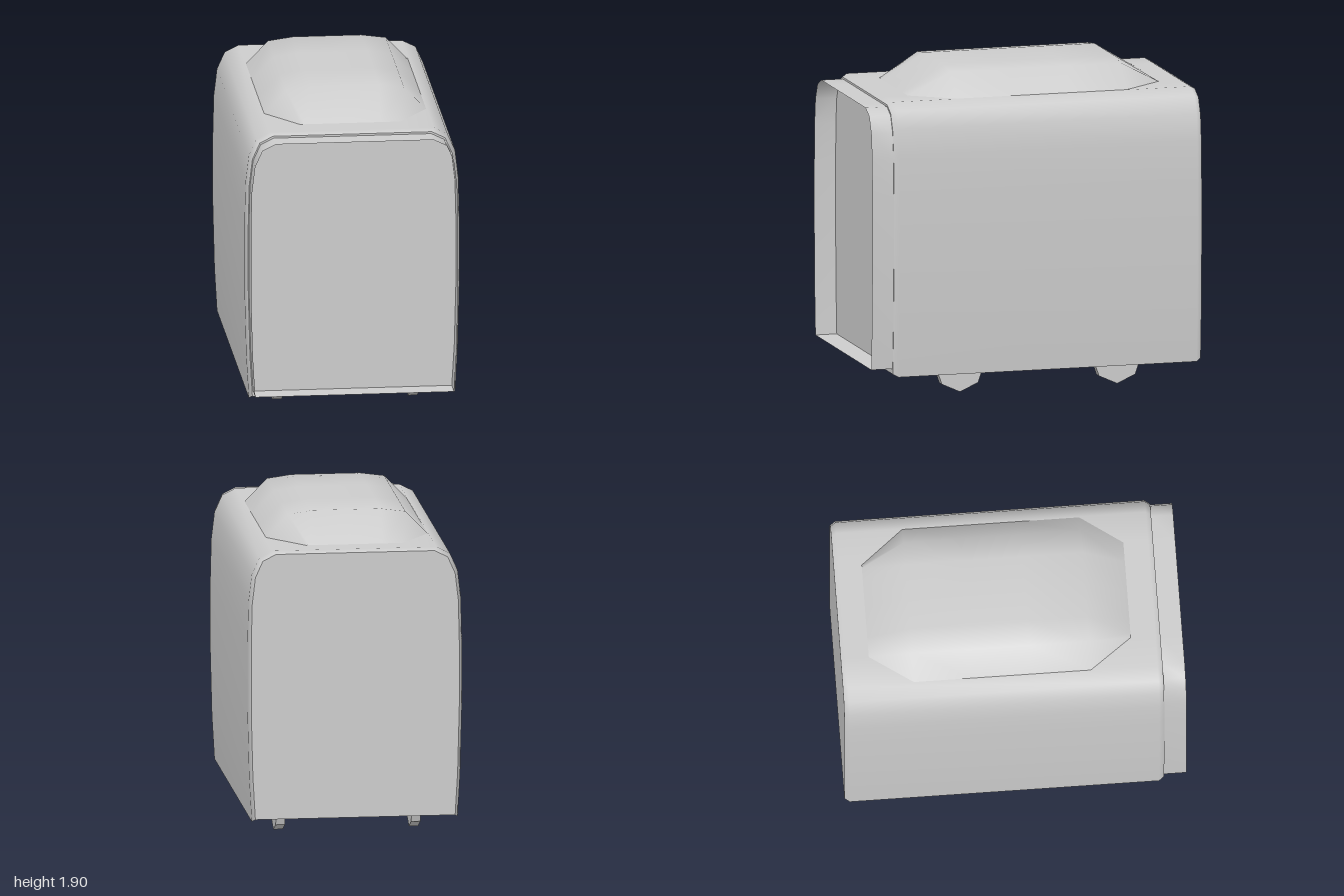
import * as THREE from 'three';

// Smooth surface through rows of [x, y, z] points (columns run +x to -x, rows front to back)
function loft(rows) {
  const n = rows[0].length, index = [];
  for (let i = 0; i < rows.length - 1; i++) {
    for (let j = 0; j < n - 1; j++) {
      const a = i * n + j, b = a + 1, c = a + n, d = c + 1;
      index.push(a, c, b, b, c, d);
    }
  }
  const g = new THREE.BufferGeometry();
  g.setAttribute('position', new THREE.Float32BufferAttribute(rows.flat(2), 3));
  g.setIndex(index);
  g.computeVertexNormals();
  return g;
}

// Arch outline: right half mirrored to the left
const half = [[0.605, 0.14], [0.62, 0.4], [0.63, 0.8], [0.63, 1.2], [0.624, 1.45],
  [0.605, 1.61], [0.56, 1.71], [0.48, 1.75], [0.3, 1.75]];
const arch = [...half, ...half.slice().reverse().map(([x, y]) => [-x, y])];
const MID = 0.945;
const section = (sx, sy, dy = 0) => arch.map(([x, y]) => [x * sx, MID + dy + (y - MID) * sy]);
const at = (pts, z) => pts.map(([x, y]) => [x, y, z]);
const face = (pts) => new THREE.ShapeGeometry(new THREE.Shape(pts.map(([x, y]) => new THREE.Vector2(x, y))));

export function createModel() {
  const model = new THREE.Group();
  const grey = new THREE.MeshStandardMaterial({ color: 0xcccccc });
  const greyOpen = new THREE.MeshStandardMaterial({ color: 0xcccccc, side: THREE.DoubleSide });
  grey.name = 'grey';
  greyOpen.name = 'grey two sided';

  const add = (name, geometry, material = grey) => {
    const mesh = new THREE.Mesh(geometry, material);
    mesh.name = name;
    model.add(mesh);
    return mesh;
  };

  // Body shell with slightly pulled-in ends
  const full = section(1, 1), end = section(0.97, 0.98);
  add('bodyShell', loft([at(end, 0.87), at(full, 0.84), at(full, -0.97), at(end, -1)]), greyOpen);
  add('frontPanel', face(end).translate(0, 0, 0.87));
  add('backPanel', face(end).rotateY(Math.PI).translate(0, 0, -1));
  add('floorPanel', new THREE.PlaneGeometry(1.2, 1.85).rotateX(Math.PI / 2).translate(0, 0.149, -0.065));

  // Open rim around the front panel
  const rim = section(0.963, 0.953, 0.01);
  add('frontRim', loft([at(rim, 1), at(rim, 0.87)]), greyOpen);
  const [rx, ry] = rim[0];
  add('frontRimSill', new THREE.PlaneGeometry(rx * 2, 0.13).rotateX(-Math.PI / 2).translate(0, ry, 0.935), greyOpen);

  // Raised roof unit with sloping sides and uneven cut corners
  const crown = (z) => [[0.475, 1.75, z], [0.345, 1.885, z], [0.2, 1.905, z], [0, 1.905, z],
    [-0.2, 1.905, z], [-0.345, 1.885, z], [-0.475, 1.75, z]];
  const foot = (xs, z) => xs.map((x) => [x, 1.748, z]);
  add('roofUnit', loft([
    foot([0.385, 0.3, 0.18, 0, -0.18, -0.26, -0.29], 0.7),
    crown(0.45), crown(0.1), crown(-0.25), crown(-0.585),
    foot([0.27, 0.25, 0.18, 0, -0.18, -0.3, -0.39], -0.84),
  ]));

  // Runners and feet underneath
  const footShape = new THREE.Shape([[-0.145, 0.15], [-0.11, 0.05], [0, 0], [0.11, 0.05], [0.145, 0.15]]
    .map(([x, y]) => new THREE.Vector2(x, y)));
  for (const side of [1, -1]) {
    add(side > 0 ? 'leftRunner' : 'rightRunner',
      new THREE.BoxGeometry(0.105, 0.014, 1.25)).position.set(side * 0.424, 0.144, -0.062);
    for (const z of [0.415, -0.54]) {
      const g = new THREE.ExtrudeGeometry(footShape, { depth: 0.055, bevelEnabled: false });
      g.translate(0, 0, -0.0275).rotateY(-Math.PI / 2);
      add((z > 0 ? 'front' : 'back') + (side > 0 ? 'Left' : 'Right') + 'Foot', g).position.set(side * 0.398, 0, z);
    }
  }
  return model;
}
